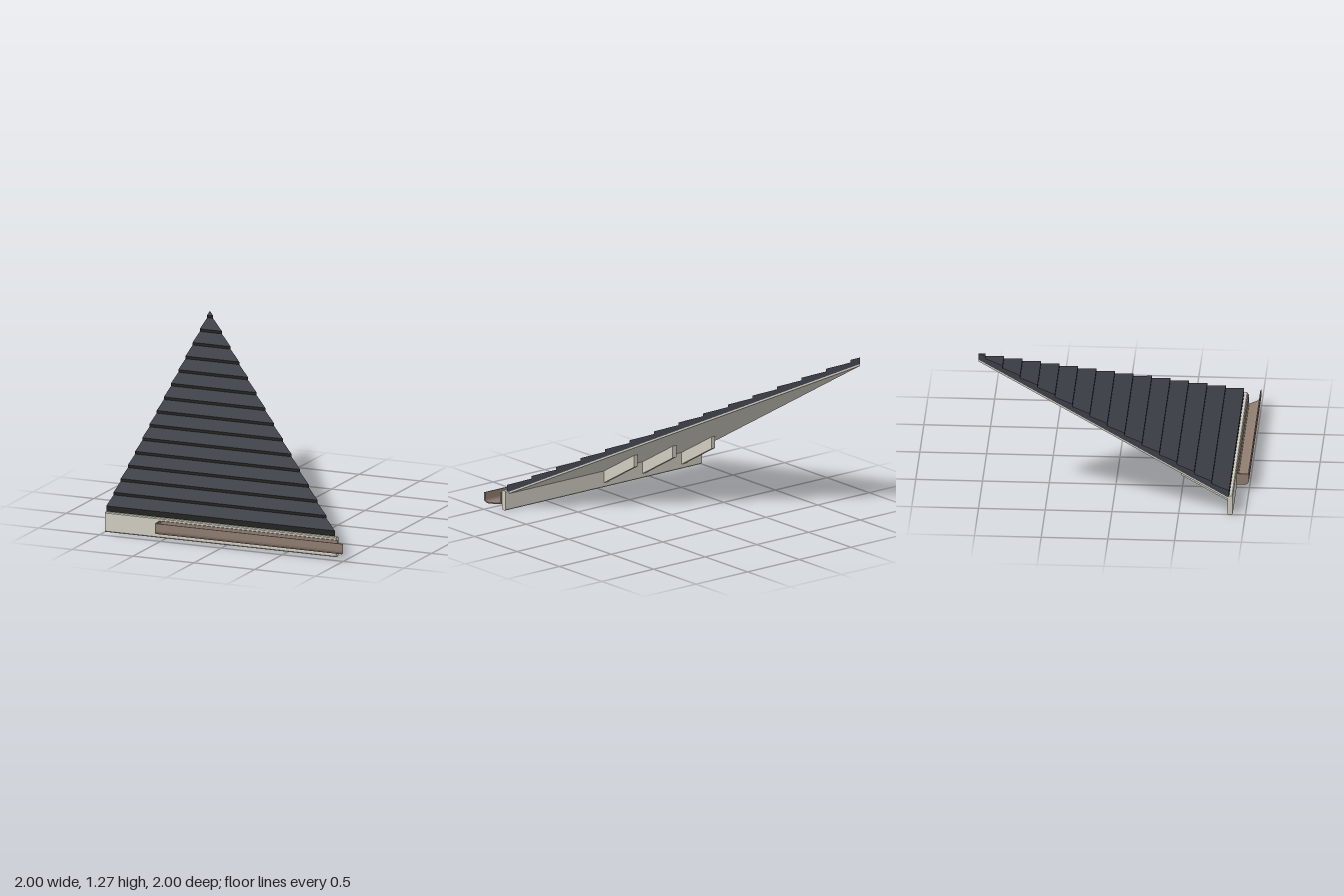
import * as THREE from 'three';

const paint = (name, color) => {
  const m = new THREE.MeshStandardMaterial({ color });
  m.name = name;
  return m;
};

// Underside of the roof deck as a height over z
const PITCH = 0.577;
const under = z => 0.628 - PITCH * z;
const DECK = 0.015;

// Sloped slab from zF to zB, running from x = -1 to the diagonal hip x = z.
// Group 0 holds the front face, group 1 everything else.
function hipSlab(zF, zB, topF, topB, botF, botB) {
  const p = [
    [-1, botF, zF], [zF, botF, zF], [zF, topF, zF], [-1, topF, zF],
    [-1, botB, zB], [zB, botB, zB], [zB, topB, zB], [-1, topB, zB],
  ];
  const quads = [
    [0, 1, 2, 3], // front
    [3, 2, 6, 7], // top
    [1, 5, 6, 2], // hip
    [4, 0, 3, 7], // left-hand end
    [4, 5, 1, 0], // underside
    [5, 4, 7, 6], // back
  ];
  const pos = [];
  for (const [a, b, c, d] of quads) for (const i of [a, b, c, a, c, d]) pos.push(...p[i]);
  const g = new THREE.BufferGeometry();
  g.setAttribute('position', new THREE.Float32BufferAttribute(pos, 3));
  g.addGroup(0, 6, 0);
  g.addGroup(6, 30, 1);
  g.computeVertexNormals();
  return g;
}

// Extrude a (z, y) profile along x from x0 to x1
function alongX(points, x0, x1) {
  const shape = new THREE.Shape(points.map(([z, y]) => new THREE.Vector2(z, y)));
  const g = new THREE.ExtrudeGeometry(shape, { depth: x1 - x0, bevelEnabled: false });
  g.rotateY(-Math.PI / 2);
  g.translate(x1, 0, 0);
  return g;
}

export function createModel() {
  const model = new THREE.Group();
  model.name = 'roofCorner';
  const slate = paint('slate', 0x3d4148);
  const edge = paint('shingleEdge', 0x232521);
  const trim = paint('paintedTrim', 0xd0ccc0);
  const metal = paint('gutterBrown', 0x8f7d70);
  const add = (name, geometry, material, parent = model) => {
    const mesh = new THREE.Mesh(geometry, material);
    mesh.name = name;
    parent.add(mesh);
    return mesh;
  };

  // Deck board below the shingles
  add('deck', hipSlab(0.875, -1, under(0.875) + DECK, under(-1) + DECK, under(0.875), under(-1)), [trim, trim]);

  // Overlapping shingle courses with dark butt edges
  const courses = new THREE.Group();
  courses.name = 'shingleCourses';
  model.add(courses);
  const step = 0.1305;
  for (let i = 0; i < 15; i++) {
    const zF = 0.878 - step * i;
    const zB = Math.max(zF - step, -1);
    const topF = 0.195 + step * PITCH * i;
    const topB = topF + (zF - zB) * 0.42;
    add('shingleCourse', hipSlab(zF, zB, topF, topB, under(zF) + DECK, under(zB) + DECK), [edge, slate], courses);
  }

  // Fascia board with small chamfers
  const c = 0.007;
  add('fascia', alongX([
    [0.867 + c, 0], [0.905 - c, 0], [0.905, c], [0.905, 0.153 - c],
    [0.905 - c, 0.153], [0.867 + c, 0.153], [0.867, 0.153 - c], [0.867, c],
  ], -1, 0.9), trim);

  // Rafter tails under the deck
  for (const x of [-0.07, -0.445, -0.82]) {
    add('rafterTail', alongX([
      [0.87, under(0.87) - 0.092], [0.87, under(0.87)],
      [0.512, under(0.512)], [0.512, under(0.512) - 0.092],
    ].reverse(), x - 0.018, x + 0.018), trim);
  }

  // Hollow gutter: outer and inner outline with a rounded front belly
  const top = 0.133, base = 0.045, t = 0.008;
  const belly = r => Array.from({ length: 5 }, (_, i) => {
    const a = -Math.PI / 2 + (i / 4) * Math.PI / 2;
    return [0.965 + r * Math.cos(a), base + 0.035 + r * Math.sin(a)];
  });
  const outer = [[0.905, top], [0.905, base], ...belly(0.035), [1, top]];
  const inner = [[0.905 + t, top], [0.905 + t, base + t], ...belly(0.035 - t), [1 - t, top]];
  const trough = alongX([...outer, ...inner.reverse()], -0.545, 1);
  // Mitre the open end to meet the neighbouring side
  const pos = trough.attributes.position;
  for (let i = 0; i < pos.count; i++) if (pos.getX(i) > 0) pos.setX(i, pos.getZ(i));
  trough.computeVertexNormals();
  add('gutter', trough, metal);
  add('gutterEndCap', alongX(outer, -0.547, -0.537), metal);

  return model;
}
